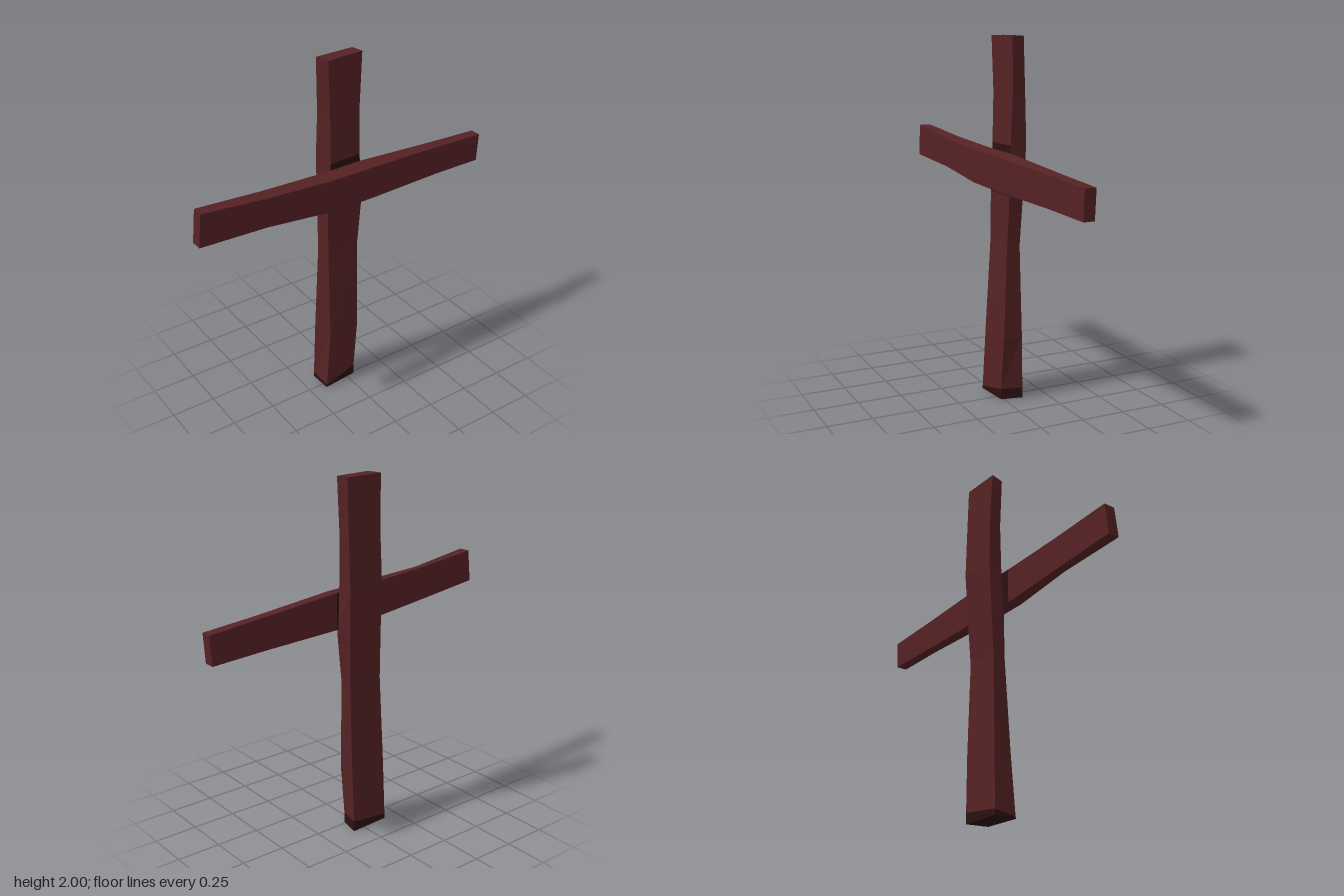
import * as THREE from 'three';

// Loft four-cornered rings into a rough plank. Corners run counter-clockwise
// seen from the far end; isDark(strip, side) picks the second material.
function plank(name, rings, isDark, materials) {
  const faces = [[], []];
  const quad = (m, a, b, c, d) => faces[m].push(...a, ...b, ...c, ...a, ...c, ...d);
  for (let i = 0; i < rings.length - 1; i++) {
    for (let s = 0; s < 4; s++) {
      const n = (s + 1) % 4;
      quad(isDark(i, s) ? 1 : 0, rings[i][s], rings[i][n], rings[i + 1][n], rings[i + 1][s]);
    }
  }
  const [a, b, c, d] = rings[0];
  quad(isDark(0, 4) ? 1 : 0, d, c, b, a);
  quad(0, ...rings[rings.length - 1]);

  const geometry = new THREE.BufferGeometry();
  geometry.setAttribute('position', new THREE.Float32BufferAttribute(faces.flat(), 3));
  geometry.addGroup(0, faces[0].length / 3, 0);
  geometry.addGroup(faces[0].length / 3, faces[1].length / 3, 1);
  geometry.computeVertexNormals();
  const mesh = new THREE.Mesh(geometry, materials);
  mesh.name = name;
  return mesh;
}

export function createModel() {
  const wood = new THREE.MeshStandardMaterial({ color: 0x562224, flatShading: true });
  wood.name = 'redBrownWood';
  const stain = new THREE.MeshStandardMaterial({ color: 0x2c1011, flatShading: true });
  stain.name = 'darkStain';
  const materials = [wood, stain];
  const group = new THREE.Group();
  group.name = 'woodenCross';

  // Upright post: y, then x and z of front left, front right, back right, back left
  const postRings = [
    [0, -0.155, 0.035, 0.05, 0.015, 0.075, -0.105, -0.16, -0.095],
    [0.04, -0.152, 0.035, 0.05, 0.015, 0.075, -0.105, -0.158, -0.095],
    [0.36, -0.122, 0.03, 0.078, 0.01, 0.082, -0.097, -0.147, -0.09],
    [0.88, -0.112, 0.003, 0.083, -0.005, 0.083, -0.08, -0.125, -0.08],
    [1.16, -0.112, 0, 0.11, -0.005, 0.095, -0.093, -0.12, -0.09],
    [1.43, -0.09, 0, 0.103, -0.015, 0.103, -0.107, -0.117, -0.1],
    [1.7, -0.088, -0.005, 0.108, -0.025, 0.105, -0.098, -0.11, -0.092],
    [2, -0.1, 0, 0.117, -0.018, 0.105, -0.088, -0.12, -0.08],
  ].map(([y, ...p]) => [0, 2, 4, 6].map((k) => [p[k], y, p[k + 1]]));
  // Ragged top edge of the stained foot
  [0.015, 0.06, 0.06, 0.03].forEach((y, k) => { postRings[1][k][1] = y; });
  group.add(plank('uprightPost', postRings, (i, s) => i === 0 || (i === 4 && s === 0), materials));

  // Crossbeam: x at bottom, x at top, bottom y, top y, back z, front z, edge slant
  const beamRings = [
    [-0.92, -0.9, 1.265, 1.447, 0.04, 0.105, 0],
    [-0.53, -0.52, 1.228, 1.415, 0.02, 0.085, 0.012],
    [-0.15, -0.15, 1.193, 1.395, 0.002, 0.085, 0.01],
    [0.12, 0.12, 1.183, 1.387, -0.015, 0.07, 0.01],
    [0.6, 0.6, 1.177, 1.352, -0.035, 0.028, 0.004],
    [0.91, 0.92, 1.17, 1.33, -0.052, 0.01, 0],
  ].map(([xb, xt, yb, yt, zb, zf, e]) => [
    [xb, yb + e, zf], [xb, yb, zb], [xt, yt, zb], [xt, yt - e, zf],
  ]);
  group.add(plank('crossbeam', beamRings, (i, s) => i === 2 && s === 1, materials));

  return group;
}
